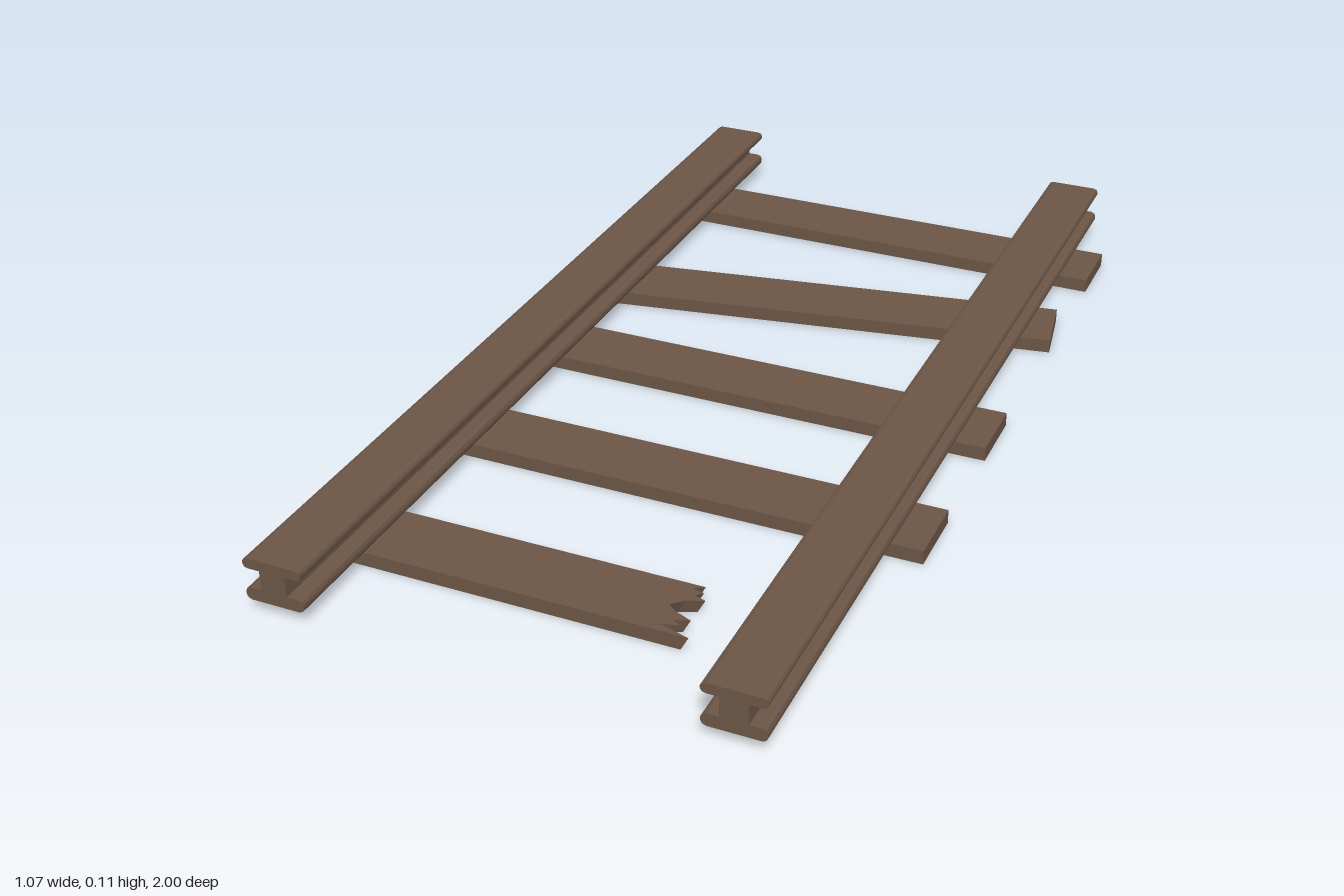
import * as THREE from 'three';

const TIE_H = 0.028, TIE_W = 0.141, TIE_L = 1.066;

// I-shaped rail section with softened flange corners, mirrored about its centre line
function railShape() {
  const half = [
    [0.047, 0.028], [0.054, 0.031], [0.057, 0.037], [0.057, 0.044], [0.054, 0.05], [0.047, 0.053],
    [0.025, 0.053], [0.025, 0.092],
    [0.047, 0.092], [0.054, 0.094], [0.057, 0.099], [0.057, 0.105], [0.054, 0.11], [0.047, 0.112],
  ];
  const mirrored = half.map(([x, y]) => [-x, y]).reverse();
  return new THREE.Shape([...half, ...mirrored].map(([x, y]) => new THREE.Vector2(x, y)));
}

// Tie snapped off at its +x end; splinters lean outward towards the top
function brokenTieGeometry() {
  const z0 = 0.668, z1 = z0 + TIE_W, left = -TIE_L / 2;
  const outline = [
    [left, z0], [0.225, z0], [0.205, 0.679], [0.229, 0.685], [0.218, 0.697], [0.24, 0.704],
    [0.208, 0.717], [0.188, 0.737], [0.208, 0.751], [0.24, 0.764], [0.212, 0.774],
    [0.228, 0.783], [0.198, 0.792], [0.256, z1], [left, z1],
  ];
  const shape = new THREE.Shape(outline.map(([x, z]) => new THREE.Vector2(x, -z)));
  const geo = new THREE.ExtrudeGeometry(shape, { depth: TIE_H, bevelEnabled: false });
  geo.rotateX(-Math.PI / 2);
  const p = geo.attributes.position;
  for (let i = 0; i < p.count; i++) {
    if (p.getX(i) > 0) p.setX(i, p.getX(i) - 0.015 * (1 - p.getY(i) / TIE_H));
  }
  geo.computeVertexNormals();
  return geo;
}

export function createModel() {
  const model = new THREE.Group();
  const brown = new THREE.MeshStandardMaterial({ color: 0x6b5546 });
  brown.name = 'weatheredBrown';

  const add = (name, geo) => {
    const mesh = new THREE.Mesh(geo, brown);
    mesh.name = name;
    model.add(mesh);
    return mesh;
  };

  // Rails
  const railGeo = new THREE.ExtrudeGeometry(railShape(), { depth: 2, bevelEnabled: false });
  railGeo.translate(0, 0, -1);
  add('leftRail', railGeo).position.x = 0.419;
  add('rightRail', railGeo).position.x = -0.419;

  // Whole ties, one knocked askew
  const ties = [[-0.773, 0], [-0.388, 0.166], [-0.018, 0], [0.351, 0]];
  ties.forEach(([z, turn], i) => {
    const length = turn ? 1.057 : TIE_L;
    const tie = add(turn ? 'crookedTie' : `tie${i + 1}`, new THREE.BoxGeometry(length, TIE_H, TIE_W));
    tie.position.set(0, TIE_H / 2, z);
    tie.rotation.y = turn;
  });

  // Broken front tie
  add('brokenTie', brokenTieGeometry());
  return model;
}
